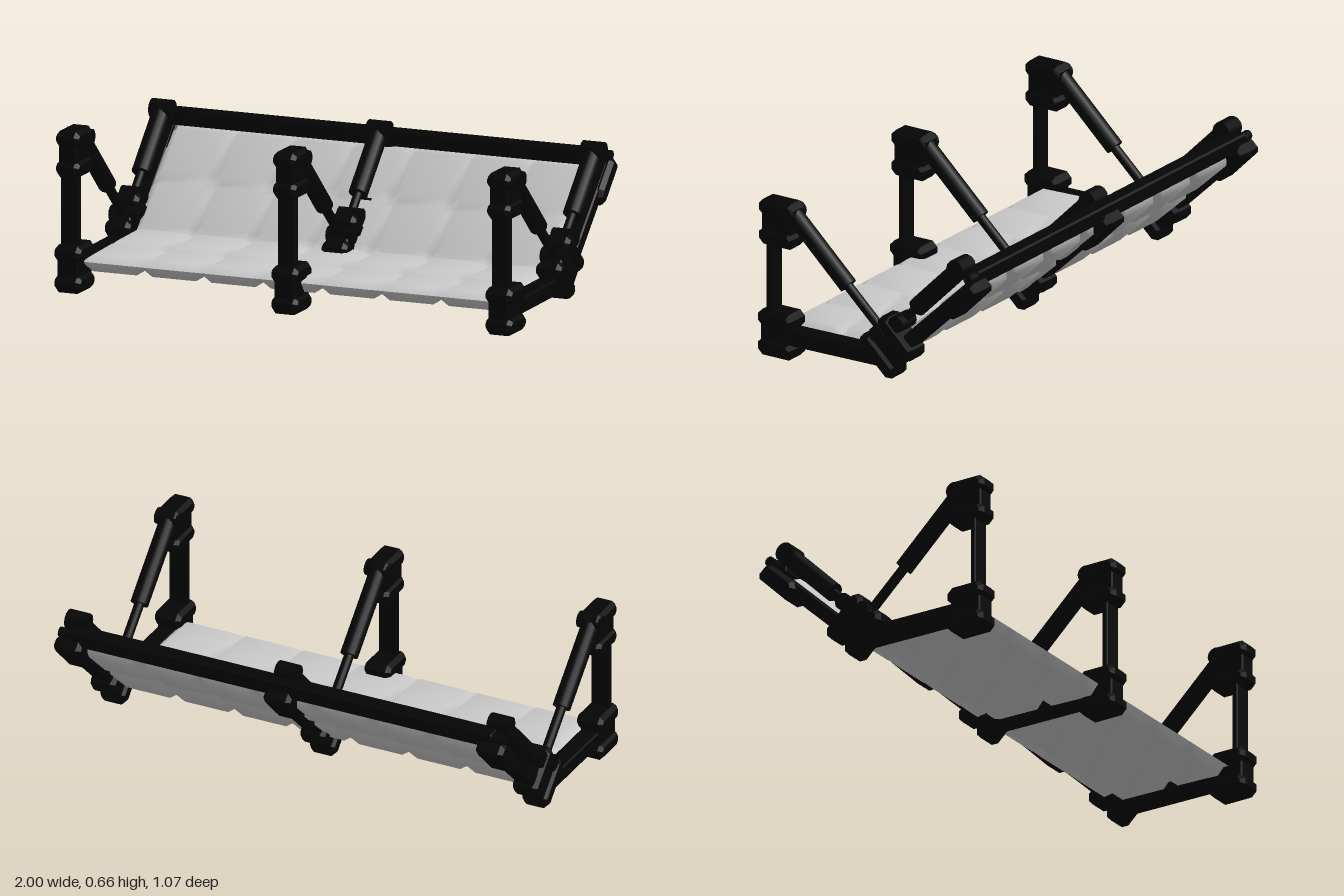
import * as THREE from 'three';

const black = new THREE.MeshStandardMaterial({ color: 0x050505 });
black.name = 'black frame';
const grey = new THREE.MeshStandardMaterial({ color: 0xc8c8c8, side: THREE.DoubleSide });
grey.name = 'light grey padding';

function add(parent, name, geometry, material = black) {
  const mesh = new THREE.Mesh(geometry, material);
  mesh.name = name;
  parent.add(mesh);
  return mesh;
}

// Side profile of [z, y] points, extruded along x with chamfered rims
function slab(points, width, bevel = 0.012) {
  const shape = new THREE.Shape(points.map(p => new THREE.Vector2(p[0], p[1])));
  const geo = new THREE.ExtrudeGeometry(shape, {
    depth: width - 2 * bevel, bevelSize: bevel, bevelThickness: bevel,
    bevelOffset: -bevel, bevelSegments: 1,
  });
  geo.translate(0, 0, -(width - 2 * bevel) / 2);
  return geo.rotateY(-Math.PI / 2);
}

// Straight beam between two [z, y] points
function beam(a, b, thick, width, bevel = 0.006) {
  const dz = b[0] - a[0], dy = b[1] - a[1], len = Math.hypot(dz, dy);
  const nz = -dy / len * thick / 2, ny = dz / len * thick / 2;
  return slab([[a[0] - nz, a[1] - ny], [b[0] - nz, b[1] - ny],
    [b[0] + nz, b[1] + ny], [a[0] + nz, a[1] + ny]], width, bevel);
}

// Round rod between two [z, y] points
function rod(a, b, radius) {
  const dz = b[0] - a[0], dy = b[1] - a[1];
  return new THREE.CylinderGeometry(radius, radius, Math.hypot(dz, dy), 16)
    .rotateX(Math.atan2(dz, dy))
    .translate(0, (a[1] + b[1]) / 2, (a[0] + b[0]) / 2);
}

// Pivot pin lying along x
const pin = (z, y, r, width) =>
  new THREE.CylinderGeometry(r, r, width, 12).rotateZ(Math.PI / 2).translate(0, y, z);

// Clamp: two octagonal pads joined by a narrower waist
function addClamp(parent, name, z, y, halfW, halfH, width, angle = 0) {
  const clamp = new THREE.Group();
  clamp.name = name;
  clamp.position.set(0, y, z);
  clamp.rotation.x = -angle;
  parent.add(clamp);
  const padH = halfH * 0.74, c = 0.022, w = halfW, h = padH / 2;
  const pad = [[w - c, -h], [w, -h + c], [w, h - c], [w - c, h],
    [-w + c, h], [-w, h - c], [-w, -h + c], [-w + c, -h]];
  for (const side of [-1, 1]) {
    const v = side * (halfH - h);
    add(clamp, side < 0 ? 'lowerPad' : 'upperPad', slab(pad.map(p => [p[0], p[1] + v]), width, 0.017));
  }
  add(clamp, 'waist', beam([0, -halfH * 0.5], [0, halfH * 0.5], halfW * 1.66, width * 0.78));
}

// One side frame: feet, post, hinge, beams and two struts
function createFrame() {
  const g = new THREE.Group();
  addClamp(g, 'foot', 0.452, 0.099, 0.086, 0.097, 0.115);
  addClamp(g, 'postHead', 0.452, 0.568, 0.086, 0.096, 0.1);
  add(g, 'post', beam([0.487, 0.15], [0.487, 0.52], 0.025, 0.08, 0.004));
  add(g, 'seatBeam', beam([0.43, 0.096], [-0.1, 0.103], 0.066, 0.08));
  addClamp(g, 'hingeClamp', -0.084, 0.16, 0.105, 0.1, 0.11, 0.755);
  add(g, 'backBeam', beam([-0.08, 0.105], [-0.48, 0.488], 0.058, 0.08));
  // Bracket and rail end at the top of the back
  add(g, 'backBracket', slab([[-0.36, 0.385], [-0.385, 0.35], [-0.41, 0.35], [-0.535, 0.475],
    [-0.535, 0.495], [-0.505, 0.522], [-0.475, 0.522], [-0.37, 0.42]], 0.12, 0.017));
  add(g, 'railEnd', pin(-0.482, 0.535, 0.021, 0.1));
  // Front strut
  add(g, 'frontStrutSleeve', rod([0.39, 0.612], [0.128, 0.365], 0.037));
  add(g, 'frontStrutRod', rod([0.14, 0.375], [-0.05, 0.198], 0.02));
  add(g, 'frontStrutTopPin', pin(0.4, 0.62, 0.034, 0.108));
  add(g, 'frontStrutBottomPin', pin(-0.042, 0.21, 0.034, 0.112));
  // Rear strut
  add(g, 'rearStrutSleeve', rod([-0.205, 0.345], [-0.42, 0.56], 0.039));
  add(g, 'rearStrutRod', rod([-0.13, 0.27], [-0.22, 0.36], 0.018));
  add(g, 'rearStrutTopPin', pin(-0.416, 0.562, 0.041, 0.09));
  add(g, 'rearStrutBottomPin', pin(-0.133, 0.27, 0.035, 0.1));
  return g;
}

// Quilted padding: seven columns by four rows of pillows along a bent centre line
const spine = [[0.46, 0.122], [0.2, 0.13], [-0.065, 0.135], [-0.26, 0.312], [-0.455, 0.492]];
const columns = 7, rows = 4, halfWidth = 0.905, rim = 0.13;

function quilt(height) {
  // Each pillow slopes up from its seams to a flat field
  const marks = count => {
    const list = [];
    for (let i = 0; i < count; i++) {
      list.push([i, 0, 0], [i, rim, 1], [i, 1 - rim, 1]);
    }
    return [...list, [count - 1, 1, 0]];
  };
  const us = marks(columns), vs = marks(rows), n = us.length;
  const pos = [], index = [];
  for (const [j, t, rv] of vs) {
    const [a, b] = [spine[j], spine[j + 1]];
    const dz = b[0] - a[0], dy = b[1] - a[1], len = Math.hypot(dz, dy);
    for (const [i, s, ru] of us) {
      const h = height * ru * rv;
      pos.push(((i + s) / columns * 2 - 1) * halfWidth,
        a[1] + dy * t - dz / len * h, a[0] + dz * t + dy / len * h);
    }
  }
  for (let j = 0; j < vs.length - 1; j++) {
    for (let i = 0; i < n - 1; i++) {
      const a = j * n + i, b = a + 1, c = a + n, d = c + 1;
      if (height > 0) index.push(a, b, d, a, d, c);
      else index.push(a, d, b, a, c, d);
    }
  }
  const geo = new THREE.BufferGeometry();
  geo.setAttribute('position', new THREE.Float32BufferAttribute(pos, 3));
  geo.setIndex(index);
  geo.computeVertexNormals();
  return geo;
}

export function createModel() {
  const model = new THREE.Group();
  model.name = 'bench';

  [['rightFrame', -0.94], ['middleFrame', 0.006], ['leftFrame', 0.94]].forEach(([name, x]) => {
    const frame = createFrame();
    frame.name = name;
    frame.position.x = x;
    model.add(frame);
  });

  // Rail joining the frames along the top of the back
  add(model, 'topRail', slab([[-0.435, 0.5], [-0.435, 0.553], [-0.442, 0.56], [-0.498, 0.56],
    [-0.505, 0.553], [-0.505, 0.5], [-0.498, 0.495], [-0.442, 0.495]], 1.88, 0.004));

  add(model, 'upperPadding', quilt(0.024), grey);
  add(model, 'lowerPadding', quilt(-0.044), grey);
  return model;
}
